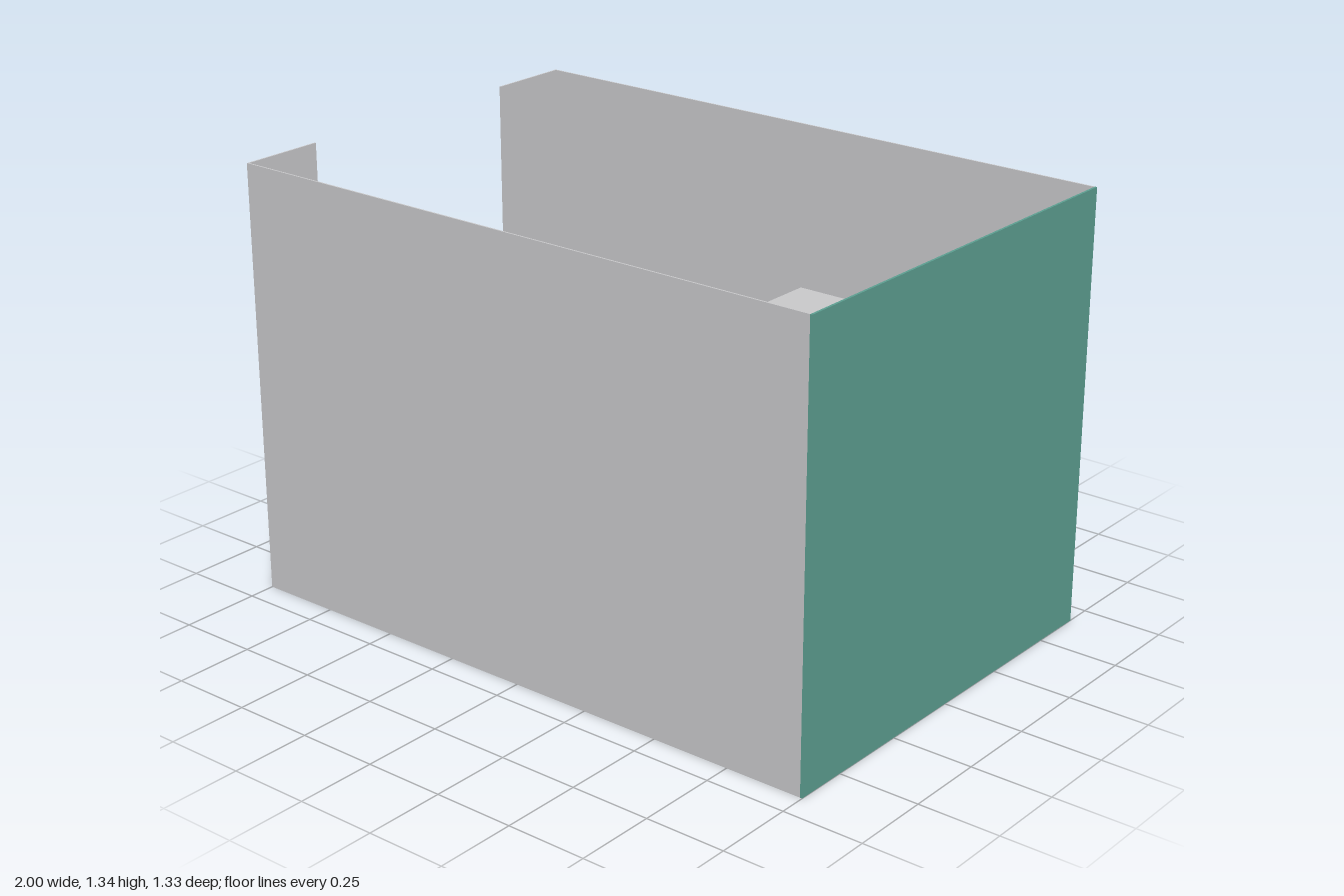
import * as THREE from 'three';

const material = (name, color) => {
  const m = new THREE.MeshStandardMaterial({ color });
  m.name = name;
  return m;
};

export function createModel() {
  const grey = material('light grey', 0xc8c8ca);
  const teal = material('teal', 0x5c9e90);
  const sand = material('sand yellow', 0xcab87c);
  const dark = material('charcoal', 0x525559);

  const room = new THREE.Group();
  room.name = 'showroom';

  // Box given by its minimum and maximum corners
  const box = (name, mat, [x0, y0, z0], [x1, y1, z1], parent = room) => {
    const mesh = new THREE.Mesh(new THREE.BoxGeometry(x1 - x0, y1 - y0, z1 - z0), mat);
    mesh.position.set((x0 + x1) / 2, (y0 + y1) / 2, (z0 + z1) / 2);
    mesh.name = name;
    parent.add(mesh);
    return mesh;
  };

  const H = 1.34, D = 0.667, T = 0.005, W = 0.993;

  // Shell: thin floor and walls, open at the top
  box('floor', grey, [-1, 0, -D], [W, T, D]);
  box('backWall', grey, [-1, T, -D], [W, H, -D + T]);
  box('frontWall', grey, [-1, T, D - T], [W, H, D]);
  box('accentWall', teal, [W, 0, -D], [1, H, D]);

  // Short wall returns on either side of the wide entrance
  box('entranceReturnBack', grey, [-1, T, -D + T], [-1 + T, H, -0.4]);
  box('entranceReturnFront', grey, [-1, T, 0.4], [-1 + T, H, D - T]);

  // Corner column
  box('cornerColumn', grey, [0.86, T, 0.525], [W, H, D - T]);

  // Tall cabinets against the long walls
  box('backCabinet', dark, [-0.37, T, -D + T], [0.03, 0.67, -0.5]);
  box('frontCabinet', dark, [0.4, T, 0.5], [0.8, 0.67, D - T]);

  // Counter by the entrance
  box('counter', sand, [-0.97, T, 0.4], [-0.37, 0.338, 0.6]);

  // Row of display plinths, each with a smaller item than the last
  const plinths = [
    { z: -0.4, mat: teal, w: 0.1, d: 0.15 },
    { z: 0, mat: sand, w: 0.085, d: 0.125 },
    { z: 0.4, mat: teal, w: 0.067, d: 0.1 },
  ];
  for (const { z, mat, w, d } of plinths) {
    const display = new THREE.Group();
    display.name = 'display';
    box('plinth', mat, [0.6, T, z - 0.133], [0.865, 0.3, z + 0.133], display);
    box('displayItem', dark, [0.732 - w / 2, 0.3, z - d / 2], [0.732 + w / 2, 0.3 + d, z + d / 2], display);
    room.add(display);
  }

  return room;
}
